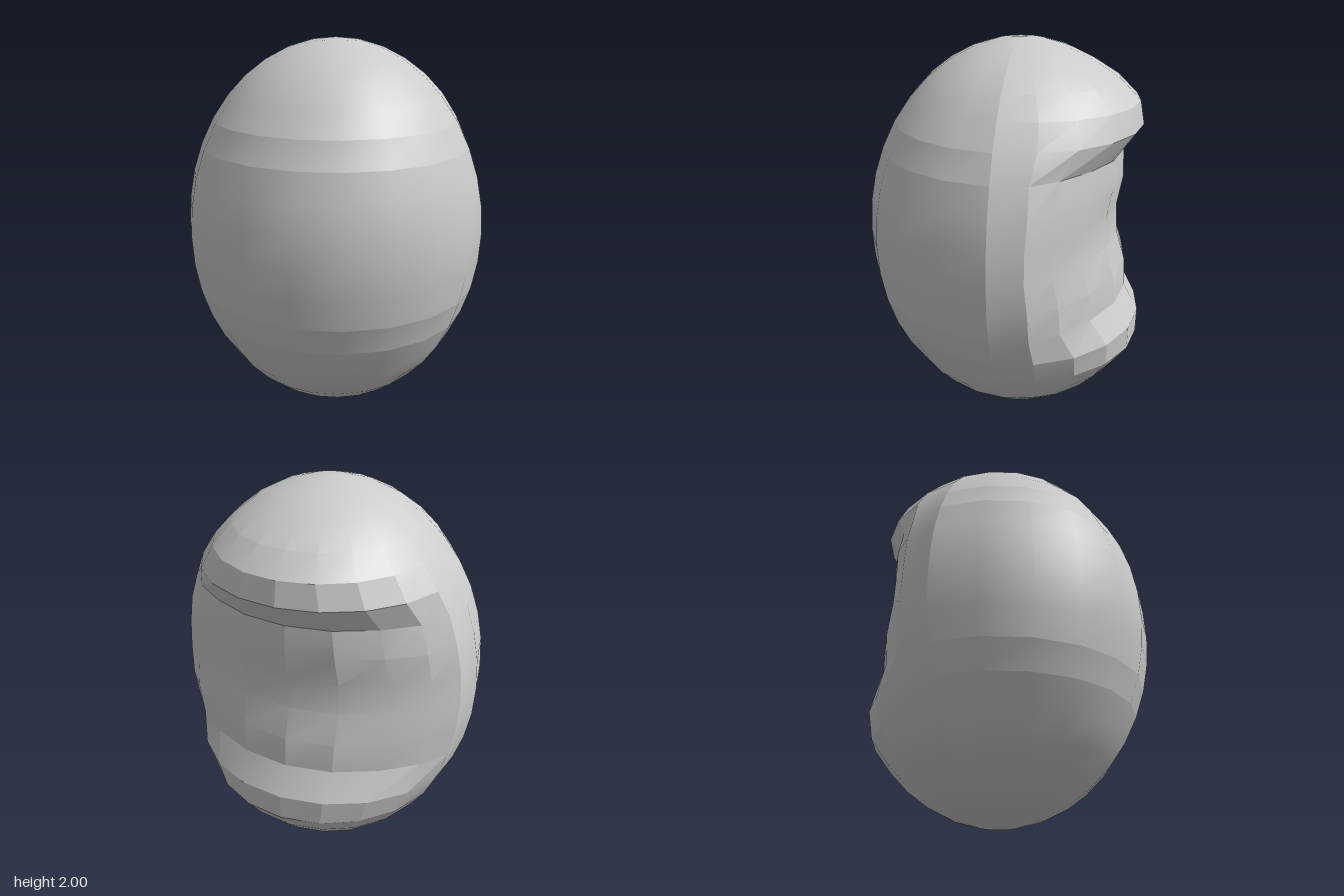
import * as THREE from 'three';
import { toCreasedNormals, mergeGeometries } from 'three/addons/utils/BufferGeometryUtils.js';

const RINGS = 20, STEP = Math.PI / 10, RADIUS = 0.8, CENTRE_Z = -0.075;

// Depth of the back on each ring, top to bottom, relative to a full egg
const backDepth = [1, 1, 1, 1.02, 1.07, 1.07, 0.97, 0.75, 0.71, 0.65, 0.65,
  0.72, 0.76, 0.92, 1.01, 1, 1, 1, 1, 1, 1];
// Small change of that depth from the side (0) to the middle of the back (5)
const columnTweak = [0, 0.03, -0.05, -0.04, -0.01, 0];

function point(ring, col) {
  const t = ring * Math.PI / RINGS, a = col * STEP;
  const r = RADIUS * Math.sin(t), s = Math.sin(a);
  let depth = 1;
  if (s < -1e-6) {
    const fromSide = 5 - Math.abs(15 - col);
    const carved = ring >= 7 && ring <= 12;
    depth = backDepth[ring] + (carved ? columnTweak[fromSide] : 0);
  }
  return [r * Math.cos(a), 1 + Math.cos(t), CENTRE_Z + r * s * depth];
}

// Grid of quads between two rings and two columns
function patch(ring0, ring1, col0, col1) {
  const pos = [], index = [], w = col1 - col0 + 1;
  for (let i = ring0; i <= ring1; i++)
    for (let j = col0; j <= col1; j++) pos.push(...point(i, j));
  for (let i = 0; i < ring1 - ring0; i++)
    for (let j = 0; j < w - 1; j++) {
      const a = i * w + j, b = a + 1, c = a + w, d = c + 1;
      if (ring0 + i > 0) index.push(a, b, d);
      if (ring0 + i < RINGS - 1) index.push(a, d, c);
    }
  const g = new THREE.BufferGeometry();
  g.setAttribute('position', new THREE.Float32BufferAttribute(pos, 3));
  g.setIndex(index);
  g.computeVertexNormals();
  return g;
}

export function createModel() {
  const group = new THREE.Group();
  group.name = 'carvedEgg';
  const material = new THREE.MeshStandardMaterial({ color: 0xcccccc, side: THREE.DoubleSide });

  // Smooth front, split into caps, narrow bands and middle
  const limits = [0, 6, 7, 12, 13, 20];
  const bands = limits.slice(1).map((end, i) => patch(limits[i], end, 0, 10));
  const front = new THREE.Mesh(mergeGeometries(bands), material);
  front.name = 'frontShell';

  // Faceted back with the hollow between two lips
  const back = new THREE.Mesh(toCreasedNormals(patch(0, RINGS, 10, 20), 0.27), material);
  back.name = 'carvedBack';

  group.add(front, back);
  return group;
}
